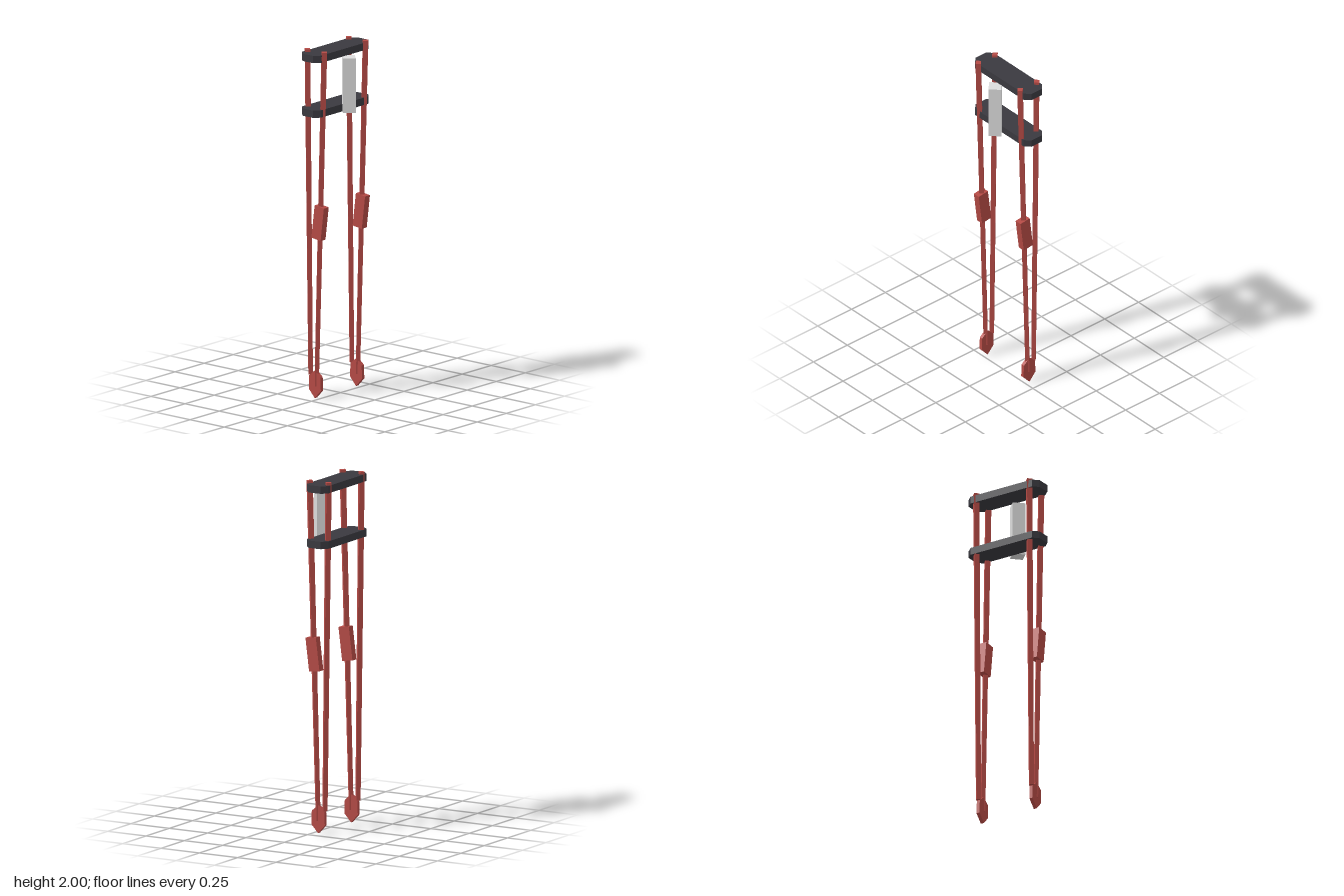
import * as THREE from 'three';

const mat = (name, color) => {
  const m = new THREE.MeshStandardMaterial({ color, flatShading: true });
  m.name = name;
  return m;
};

export function createModel() {
  const red = mat('red', 0xb44a45);
  const dark = mat('charcoal', 0x3a393f);
  const pale = mat('paleGrey', 0xdcdcdc);
  const model = new THREE.Group();

  const add = (name, geometry, material, parent = model) => {
    const mesh = new THREE.Mesh(geometry, material);
    mesh.name = name;
    parent.add(mesh);
    return mesh;
  };

  // Polygon outline extruded symmetrically about its plane
  const slab = (points, depth) => {
    const shape = new THREE.Shape(points.map(([x, y]) => new THREE.Vector2(x, y)));
    return new THREE.ExtrudeGeometry(shape, { depth, bevelEnabled: false }).translate(0, 0, -depth / 2);
  };

  // Tapered four-sided rod between two points in the xy plane
  const rod = (name, parent, [x0, y0], [x1, y1], rTop, rBottom) => {
    const length = Math.hypot(x1 - x0, y1 - y0);
    const mesh = add(name, new THREE.CylinderGeometry(rTop, rBottom, length, 4), red, parent);
    mesh.position.set((x0 + x1) / 2, (y0 + y1) / 2, 0);
    mesh.rotation.z = -Math.atan2(x1 - x0, y1 - y0);
  };

  // Two horizontal plates with clipped corners
  const plate = slab([
    [-0.077, -0.237], [0, -0.237], [0.03, -0.205], [0.03, 0.205],
    [0, 0.237], [-0.077, 0.237], [-0.108, 0.205], [-0.108, -0.205],
  ], 0.042).rotateX(-Math.PI / 2);
  add('upperPlate', plate, dark).position.y = 1.965;
  add('lowerPlate', plate, dark).position.y = 1.65;

  // Pale square post set on edge between the plates
  add('post', new THREE.CylinderGeometry(0.051, 0.051, 0.315, 4), pale).position.set(0.06, 1.787, 0);

  // Mirrored legs: two converging rods, a knee block and a pointed foot
  const foot = slab([
    [-0.03, 0], [0.014, 0.048], [0.011, 0.125], [-0.03, 0.16], [-0.071, 0.125], [-0.074, 0.048],
  ], 0.02);
  for (const [name, z] of [['leftLeg', 0.177], ['rightLeg', -0.177]]) {
    const leg = new THREE.Group();
    leg.name = name;
    leg.position.z = z;
    model.add(leg);
    rod('innerRod', leg, [-0.069, 0.13], [-0.092, 2], 0.021, 0.017);
    rod('outerRod', leg, [-0.025, 0.07], [0.031, 2], 0.021, 0.016);
    const knee = add('kneeBlock', new THREE.BoxGeometry(0.068, 0.192, 0.042), red, leg);
    knee.position.set(0, 1.015, 0);
    knee.rotation.z = -0.125;
    add('foot', foot, red, leg);
  }
  return model;
}
